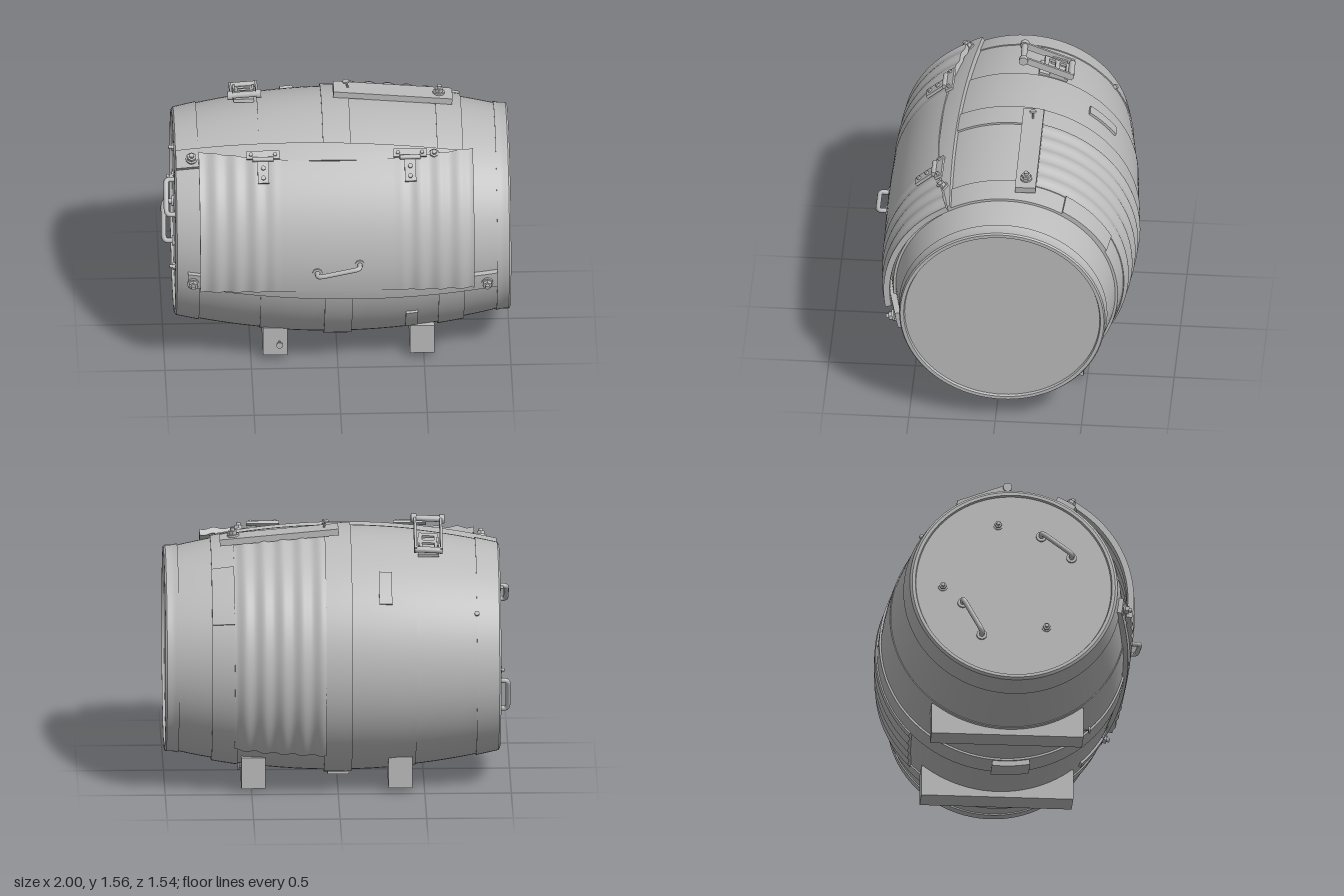
import * as THREE from 'three';
import { toCreasedNormals } from 'three/addons/utils/BufferGeometryUtils.js';

const CY = 0.75, CZ = -0.04, RAD = Math.PI / 180;
const grey = new THREE.MeshStandardMaterial({ color: 0xbababa });
grey.name = 'plain grey';

// bulging radius of the barrel along its x axis
const barrelR = (x) => Math.max(0.595, 0.708 - 0.125 * x * x);
const lerp = THREE.MathUtils.lerp;

function add(parent, name, geo, x = 0, y = 0, z = 0) {
  const m = new THREE.Mesh(geo, grey);
  m.name = name;
  m.position.set(x, y, z);
  parent.add(m);
  return m;
}

const box = (w, h, d) => new THREE.BoxGeometry(w, h, d);
const cyl = (r, h, n = 20) => toCreasedNormals(new THREE.CylinderGeometry(r, r, h, n), 0.6);

// curved plate wrapped on the barrel; angles run from the front (0) over the top (90)
function plate(parent, name, x0, x1, a0, a1, rOut, thick, nx = 12, na = 12) {
  const g = new THREE.BoxGeometry(1, 1, 1, nx, 1, na), p = g.attributes.position;
  for (let i = 0; i < p.count; i++) {
    const x = lerp(x0, x1, p.getX(i) + 0.5);
    const a = lerp(a1(x), a0(x), p.getZ(i) + 0.5) * RAD;
    const r = rOut(x) - (0.5 - p.getY(i)) * thick;
    p.setXYZ(i, x, CY + r * Math.sin(a), CZ + r * Math.cos(a));
  }
  g.computeVertexNormals();
  return add(parent, name, g);
}

// group whose y axis points out of the barrel
function mount(parent, name, x, deg, r) {
  const g = new THREE.Group(), a = deg * RAD;
  g.name = name;
  g.position.set(x, CY + r * Math.sin(a), CZ + r * Math.cos(a));
  g.rotation.x = Math.PI / 2 - a;
  parent.add(g);
  return g;
}

function bolt(parent, s = 1) {
  add(parent, 'washer', cyl(0.034 * s, 0.012), 0, 0.006, 0);
  add(parent, 'hexNut', cyl(0.026 * s, 0.026 * s, 6), 0, 0.02 * s, 0);
  add(parent, 'boltTip', cyl(0.013 * s, 0.02), 0, 0.04 * s, 0);
}

function nail(parent) {
  add(parent, 'nailShaft', cyl(0.006, 0.05, 8), 0, 0.02, 0);
  add(parent, 'nailHead', cyl(0.02, 0.01, 14), 0, 0.045, 0);
}

// bent grab handle from a to b, standing out along dir
function handle(parent, name, a, b, dir, out, r) {
  const g = new THREE.Group();
  g.name = name;
  const A = new THREE.Vector3(...a), B = new THREE.Vector3(...b), D = new THREE.Vector3(...dir);
  const up = (p, q, t, h) => p.clone().lerp(q, t).addScaledVector(D, h);
  const path = new THREE.CurvePath();
  const a1 = up(A, B, 0, out * 0.6), a2 = up(A, B, 0.15, out);
  const b1 = up(A, B, 1, out * 0.6), b2 = up(A, B, 0.85, out);
  path.add(new THREE.LineCurve3(A, a1));
  path.add(new THREE.QuadraticBezierCurve3(a1, up(A, B, 0, out), a2));
  path.add(new THREE.LineCurve3(a2, b2));
  path.add(new THREE.QuadraticBezierCurve3(b2, up(A, B, 1, out), b1));
  path.add(new THREE.LineCurve3(b1, B));
  add(g, 'grip', new THREE.TubeGeometry(path, 48, r, 10));
  for (const p of [A, B]) {
    const foot = add(g, 'handleFoot', cyl(r * 2, 0.014), p.x, p.y, p.z);
    foot.quaternion.setFromUnitVectors(new THREE.Vector3(0, 1, 0), D);
  }
  parent.add(g);
}

export function createModel() {
  const model = new THREE.Group();
  model.name = 'barrel';
  const k = (v) => () => v;

  // barrel body: bands and hoops as small steps in the profile, ends recessed in a rim
  const bands = [[-0.93, -0.8, 0.002], [-0.8, -0.45, -0.005], [-0.45, -0.08, 0], [-0.08, 0.08, 0.012],
    [0.08, 0.58, 0], [0.58, 0.73, 0.009], [0.73, 0.92, -0.006], [0.92, 0.99, 0.002]];
  const pts = [[0, -0.925], [0.565, -0.925], [0.57, -0.94], [0.588, -0.94]];
  for (const [x0, x1, off] of bands)
    for (let i = 0; i <= 6; i++) {
      const x = lerp(x0, x1, i / 6);
      pts.push([barrelR(x) + off, x]);
    }
  pts.push([0.59, 1], [0.57, 1], [0.565, 0.985], [0, 0.985]);
  const body = new THREE.LatheGeometry(pts.map(([r, x]) => new THREE.Vector2(r, x)), 96);
  body.rotateZ(-Math.PI / 2);
  add(model, 'barrelBody', toCreasedNormals(body, 0.5), 0, CY, CZ);

  // corrugated front panel, smooth in the middle
  const wave = (x) => {
    const t = Math.abs(x) - 0.33;
    return t > 0 ? 0.006 * Math.sin(t * 2 * Math.PI / 0.115) * Math.min(1, t / 0.1) : 0;
  };
  plate(model, 'frontPanel', -0.8, 0.785, (x) => -8.2 - 2.8 * x * x, (x) => 54 + 11 * x * x,
    (x) => 0.738 - 0.055 * x * x + wave(x), 0.035, 110, 24);

  // strips that hold the panel along its lower and upper edges
  const stripR = (x) => barrelR(x) + 0.028;
  plate(model, 'lowerStrip', -0.87, 0.92, (x) => lerp(-11.5, -15.5, (x + 0.87) / 1.79),
    (x) => lerp(-3, -6, (x + 0.87) / 1.79), stripR, 0.035, 30, 4);
  plate(model, 'upperStrip', -0.93, 0.73, (x) => lerp(55, 54, (x + 0.93) / 1.66),
    (x) => lerp(66, 61, (x + 0.93) / 1.66), stripR, 0.035, 30, 4);
  for (const [x, a] of [[-0.84, -8], [0.86, -11], [-0.84, 59.5], [0.56, 57.5]])
    bolt(mount(model, 'stripBolt', x, a, stripR(x)));

  // T-shaped hinges on the upper panel edge
  for (const x of [-0.43, 0.42]) {
    const h = mount(model, 'hinge', x, 55.5, 0.745);
    add(h, 'hingeStrap', box(0.19, 0.016, 0.05), 0, 0, -0.02);
    const pin = add(h, 'hingePin', cyl(0.014, 0.12, 12), 0, 0.012, 0.01);
    pin.rotation.z = Math.PI / 2;
    const leaf = mount(model, 'hingeLeaf', x, 49.5, 0.742);
    add(leaf, 'leafPlate', box(0.065, 0.018, 0.15));
    for (const z of [-0.015, 0.045]) add(leaf, 'leafScrew', cyl(0.013, 0.014, 12), 0, 0.014, z);
    for (const s of [-1, 1]) add(h, 'strapScrew', cyl(0.011, 0.014, 12), s * 0.07, 0.012, -0.02);
  }

  // corrugated patch over the back
  plate(model, 'rearPatch', 0.07, 0.6, k(98), k(223),
    (x) => barrelR(x) + 0.02 + 0.007 * Math.sin((x - 0.07) * 2 * Math.PI / 0.11), 0.025, 60, 40);

  // small flat repair plates
  const raised = (h) => (x) => barrelR(x) + h;
  plate(model, 'shoulderPlate', 0.6, 0.73, k(120), k(152), raised(0.022), 0.02);
  plate(model, 'smallBackPlate', -0.31, -0.235, k(126), k(143), raised(0.014), 0.02);
  plate(model, 'smallFrontPlate', 0.39, 0.46, k(-46), k(-29), raised(0.014), 0.02);
  plate(model, 'bottomPlate', -0.07, 0.055, k(-95), k(-78), k(0.75), 0.04);

  // tilted bar nailed and bolted on top
  const bar = new THREE.Group();
  bar.name = 'topBar';
  bar.position.set(0.335, 1.462, -0.15);
  bar.rotation.z = -0.09;
  add(bar, 'barPlank', box(0.69, 0.038, 0.12));
  const barBolt = new THREE.Group(), barNail = new THREE.Group();
  barBolt.position.set(0.265, 0.019, 0);
  barNail.position.set(-0.26, 0.015, 0);
  barNail.rotation.z = 0.35;
  bolt(barBolt);
  nail(barNail);
  bar.add(barBolt, barNail);
  model.add(bar);

  // raised lever latch on top
  const latch = new THREE.Group();
  latch.name = 'latch';
  latch.position.set(-0.525, 1.472, -0.195);
  latch.rotation.set(-0.37, 0, 0.06);
  for (const s of [-1, 1]) {
    add(latch, 'leverArm', box(0.014, 0.04, 0.31), s * 0.075, 0, 0);
    const end = add(latch, 'leverHub', cyl(0.026, 0.03), s * 0.082, 0, 0.15);
    end.rotation.z = Math.PI / 2;
    add(latch, 'latchRail', box(0.02, 0.016, 0.15), s * 0.045, -0.012, -0.06);
  }
  for (const z of [-0.145, 0.15]) {
    const roller = add(latch, 'roller', cyl(0.018, 0.16), 0, 0, z);
    roller.rotation.z = Math.PI / 2;
  }
  for (const z of [-0.125, -0.06, 0.005]) add(latch, 'latchCrossbar', box(0.11, 0.016, 0.025), 0, -0.012, z);
  model.add(latch);
  const base = mount(model, 'latchBase', -0.525, 106, barrelR(0.525));
  add(base, 'basePlate', box(0.12, 0.02, 0.17), 0, 0.005, 0);
  for (const s of [-1, 1]) add(base, 'baseBracket', box(0.012, 0.06, 0.09), s * 0.055, 0.03, -0.02);

  // support blocks under the barrel
  for (const x of [-0.36, 0.49]) add(model, 'supportBlock', box(0.14, 0.185, 0.88), x, 0.122, -0.04);
  const frontNail = new THREE.Group(), sideNail = new THREE.Group();
  frontNail.name = 'frontBlockNail';
  frontNail.position.set(-0.335, 0.122, 0.395);
  frontNail.rotation.x = Math.PI / 2;
  nail(frontNail);
  sideNail.name = 'sideBlockNail';
  sideNail.position.set(0.53, 0.155, -0.45);
  sideNail.rotation.z = -Math.PI / 2;
  nail(sideNail);
  model.add(frontNail, sideNail);
  add(mount(model, 'looseNail', -0.8, 146, barrelR(0.8)), 'nailHead', cyl(0.014, 0.03, 12));

  // handles on the panel and the right end
  handle(model, 'panelHandle', [-0.125, 0.775, 0.695], [0.12, 0.825, 0.69], [0, 0, 1], 0.055, 0.014);
  handle(model, 'upperEndHandle', [-0.93, 1.065, 0.12], [-0.93, 0.935, 0.295], [-1, 0, 0], 0.055, 0.015);
  handle(model, 'lowerEndHandle', [-0.93, 0.63, -0.335], [-0.93, 0.43, -0.225], [-1, 0, 0], 0.055, 0.015);

  // bolts on the right end
  for (const [y, z] of [[1.13, -0.13], [0.73, -0.45], [0.49, 0.15]]) {
    const b = new THREE.Group();
    b.name = 'endBolt';
    b.position.set(-0.92, y, z);
    b.rotation.z = Math.PI / 2;
    bolt(b, 0.8);
    model.add(b);
  }
  return model;
}
